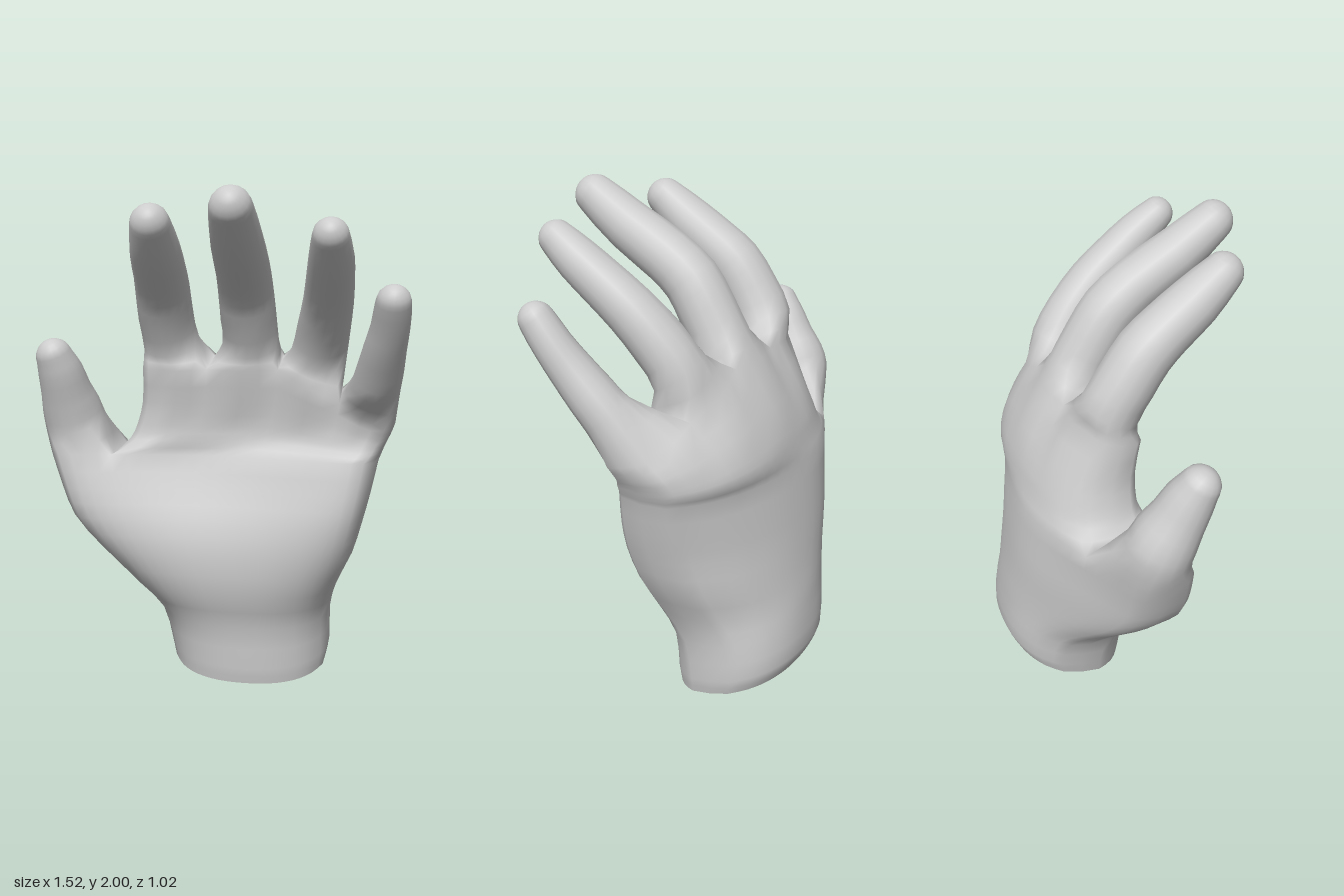
import * as THREE from 'three';
import { mergeVertices } from 'three/addons/utils/BufferGeometryUtils.js';

const { lerp } = THREE.MathUtils;

// Palm cross-sections: height, left/right x, front/back z, forward curl of the sides,
// hollow of the palm, tilt of the section, squareness of its outline,
// drop toward the little finger, valleys between fingers, slope of the back toward the thumb
const row = (y, x0, x1, zf, zb, curl, hollow, tilt, square, drop = 0, valley = 0, slope = 0) =>
  ({ y, x0, x1, zf, zb, curl, hollow, tilt, square, drop, valley, slope });

const lowerRows = [
  row(0.00, -0.225, 0.435, 0.00, -0.485, 0, 0, 0.29, 2.3),
  row(0.07, -0.24, 0.447, 0.01, -0.51, 0, 0, 0.27, 2.3),
  row(0.25, -0.28, 0.45, 0.03, -0.50, 0.01, 0.01, 0.2, 2.3),
  row(0.40, -0.38, 0.48, 0.09, -0.49, 0.04, 0.02, 0.1, 2.3, 0, 0, 0.02),
  row(0.56, -0.515, 0.545, 0.13, -0.475, 0.07, 0.05, 0, 2.4, 0, 0, 0.05),
  row(0.70, -0.625, 0.585, 0.13, -0.46, 0.1, 0.08, 0, 2.5, 0, 0, 0.07),
  row(0.82, -0.675, 0.615, 0.09, -0.445, 0.12, 0.085, 0, 2.7, 0, 0, 0.075),
  row(0.96, -0.725, 0.645, 0.02, -0.425, 0.14, 0.06, 0, 3.1, 0, 0, 0.07),
];
const upperRows = [
  row(1.02, -0.4, 0.66, -0.005, -0.412, 0.14, 0.05, 0.03, 3.2, 0.06),
  row(1.08, -0.37, 0.672, -0.02, -0.395, 0.14, 0.04, 0.06, 3.2, 0.14),
  row(1.17, -0.345, 0.69, -0.025, -0.355, 0.13, 0.015, 0.13, 3.2, 0.28, 0.08),
  row(1.31, -0.335, 0.708, -0.01, -0.27, 0.11, 0, 0.25, 3.4, 0.5, 0.2),
];
upperRows.forEach(r => { r.upper = true; });

// Where the finger columns meet, as fractions of the upper palm width
const columns = [0.04, 0.27, 0.55, 0.79, 0.96];

// Point i (0..20, thumb to little finger) and j (0 front .. 4 back) of a palm section
function node(r, i, j) {
  const c = Math.min(Math.floor((i - 4) / 4), 3);
  let f;
  if (i < 4) f = lerp(0.04, 0.2, i / 4);
  else {
    f = lerp(columns[c], columns[c + 1], (i - 4 - 4 * c) / 4);
    if (!r.upper) f = 0.2 + (f - 0.04) / 0.92 * 0.76;
  }
  const s = 2 * f - 1, around = Math.PI * j / 4;
  const front = Math.max(0, Math.cos(around)), back = Math.max(0, -Math.cos(around));
  const first = r.upper ? 4 : 0;
  const side = i === first ? -1 : i === 20 ? 1 : 0;
  const round = Math.pow(1 - Math.pow(Math.abs(s), r.square), 1 / r.square);
  const dip = side ? 0 : r.valley * Math.cos(Math.PI * i / 4) ** 2;
  const depth = (r.zf - r.zb) / 2 * round * (1 - dip);
  const curl = r.upper && s < 0 ? r.curl * 0.42 : r.curl;
  const slope = s < 0 ? r.slope * 4 * s * s * (1 - s * s) : 0;
  const z = (r.zf + r.zb) / 2 + curl * s * s + depth * Math.cos(around)
    - r.hollow * (1 - s * s) * front + slope * back;
  const x = lerp(r.x0, r.x1, f + side * 0.04 * Math.sin(around));
  return new THREE.Vector3(x, r.y - r.tilt * z - r.drop * Math.max(0, f - 0.55), z);
}

// Closed ring around columns a..b of a palm section
function palmRing(r, a, b) {
  const ring = [];
  for (let i = a; i <= b; i++) ring.push(node(r, i, 0));
  for (let j = 1; j < 4; j++) ring.push(node(r, b, j));
  for (let i = b; i >= a; i--) ring.push(node(r, i, 4));
  for (let j = 3; j > 0; j--) ring.push(node(r, a, j));
  return ring;
}

// Rings of 16 points along a finger, closed by a rounded tip; path entries are x, y, z, radius
function fingerRings(path) {
  const curve = new THREE.CatmullRomCurve3(path.map(p => new THREE.Vector3(p[0], p[1], p[2])));
  const rings = [];
  const add = (t, radius, ahead) => {
    const T = curve.getTangent(t);
    const X = new THREE.Vector3(1, 0, 0).addScaledVector(T, -T.x).normalize();
    const F = new THREE.Vector3().crossVectors(X, T);
    const c = curve.getPoint(t).addScaledVector(T, ahead);
    rings.push(Array.from({ length: 16 }, (_, k) => {
      const a = Math.PI * (0.75 - k / 8);
      return c.clone().addScaledVector(X, radius * Math.cos(a)).addScaledVector(F, radius * Math.sin(a));
    }));
  };
  path.forEach((p, k) => add(k / (path.length - 1), p[3], 0));
  const r = path[path.length - 1][3];
  for (const a of [0.5, 1.0, 1.35, Math.PI / 2]) add(1, r * Math.cos(a), r * Math.sin(a));
  return rings;
}

// Halve the spacing between rings with a smooth curve through each run of points
function refine(rings) {
  const n = (rings.length - 1) * 2;
  const curves = rings[0].map((_, k) => new THREE.CatmullRomCurve3(rings.map(r => r[k])));
  return Array.from({ length: n + 1 }, (_, s) => curves.map(c => c.getPoint(s / n)));
}

const fingers = [
  { name: 'thumb', from: 0, path: [
    [-0.63, 1.085, -0.08, 0.13], [-0.643, 1.16, -0.055, 0.121], [-0.652, 1.23, -0.02, 0.104],
    [-0.662, 1.31, 0.015, 0.092], [-0.675, 1.365, 0.04, 0.077]] },
  { name: 'indexFinger', from: 4, path: [
    [-0.217, 1.42, -0.11, 0.117], [-0.225, 1.54, -0.045, 0.113], [-0.22, 1.64, 0.025, 0.11],
    [-0.21, 1.71, 0.11, 0.104], [-0.2, 1.79, 0.22, 0.097], [-0.19, 1.875, 0.325, 0.077]] },
  { name: 'middleFinger', from: 8, path: [
    [0.115, 1.42, -0.11, 0.118], [0.115, 1.54, -0.045, 0.114], [0.115, 1.64, 0.02, 0.111],
    [0.12, 1.72, 0.12, 0.106], [0.125, 1.82, 0.29, 0.098], [0.13, 1.92, 0.435, 0.08]] },
  { name: 'ringFinger', from: 12, path: [
    [0.395, 1.38, -0.1, 0.113], [0.42, 1.49, -0.03, 0.105], [0.445, 1.6, 0.07, 0.097],
    [0.46, 1.69, 0.18, 0.09], [0.47, 1.76, 0.27, 0.083], [0.473, 1.825, 0.355, 0.068]] },
  { name: 'littleFinger', from: 16, path: [
    [0.63, 1.27, 0.05, 0.097], [0.648, 1.34, 0.105, 0.09], [0.667, 1.43, 0.175, 0.08],
    [0.685, 1.51, 0.23, 0.072], [0.695, 1.595, 0.287, 0.065]] },
];

export function createModel() {
  const group = new THREE.Group();
  const material = new THREE.MeshStandardMaterial({ color: 0xcccccc });
  const soup = [], parts = [];

  const loft = (name, rings) => {
    const start = soup.length / 3;
    for (let s = 0; s + 1 < rings.length; s++) {
      const lo = rings[s], hi = rings[s + 1];
      lo.forEach((p, k) => {
        const m = (k + 1) % lo.length;
        for (const v of [p, lo[m], hi[m], p, hi[m], hi[k]]) soup.push(v.x, v.y, v.z);
      });
    }
    parts.push({ name, start, end: soup.length / 3 });
  };

  // One continuous skin: heel of the hand, upper palm, then each finger from its own opening
  const split = lowerRows[lowerRows.length - 1], knuckles = upperRows[upperRows.length - 1];
  loft('palmAndWrist', refine(lowerRows.map(r => palmRing(r, 0, 20))));
  loft('upperPalm', refine([split, ...upperRows].map(r => palmRing(r, 4, 20))));
  for (const { name, from, path } of fingers) {
    const base = palmRing(from === 0 ? split : knuckles, from, from + 4);
    loft(name, refine([base, ...fingerRings(path)]));
  }

  // Shared vertices give smooth shading across the joins; each part keeps its own faces
  let skin = new THREE.BufferGeometry();
  skin.setAttribute('position', new THREE.Float32BufferAttribute(soup, 3));
  skin = mergeVertices(skin, 1e-4);
  skin.computeVertexNormals();
  const index = Array.from(skin.index.array);
  for (const { name, start, end } of parts) {
    const geometry = new THREE.BufferGeometry();
    geometry.setAttribute('position', skin.attributes.position);
    geometry.setAttribute('normal', skin.attributes.normal);
    geometry.setIndex(index.slice(start, end));
    const mesh = new THREE.Mesh(geometry, material);
    mesh.name = name;
    group.add(mesh);
  }

  // Slanted cut that closes the wrist
  const rim = palmRing(lowerRows[0], 0, 20);
  const centre = rim.reduce((a, p) => a.add(p), new THREE.Vector3()).divideScalar(rim.length);
  const capPoints = rim.flatMap((p, k) => [centre, rim[(k + 1) % rim.length], p]);
  const capGeometry = new THREE.BufferGeometry().setFromPoints(capPoints);
  capGeometry.computeVertexNormals();
  const cap = new THREE.Mesh(capGeometry, material);
  cap.name = 'wristCut';
  group.add(cap);

  return group;
}
